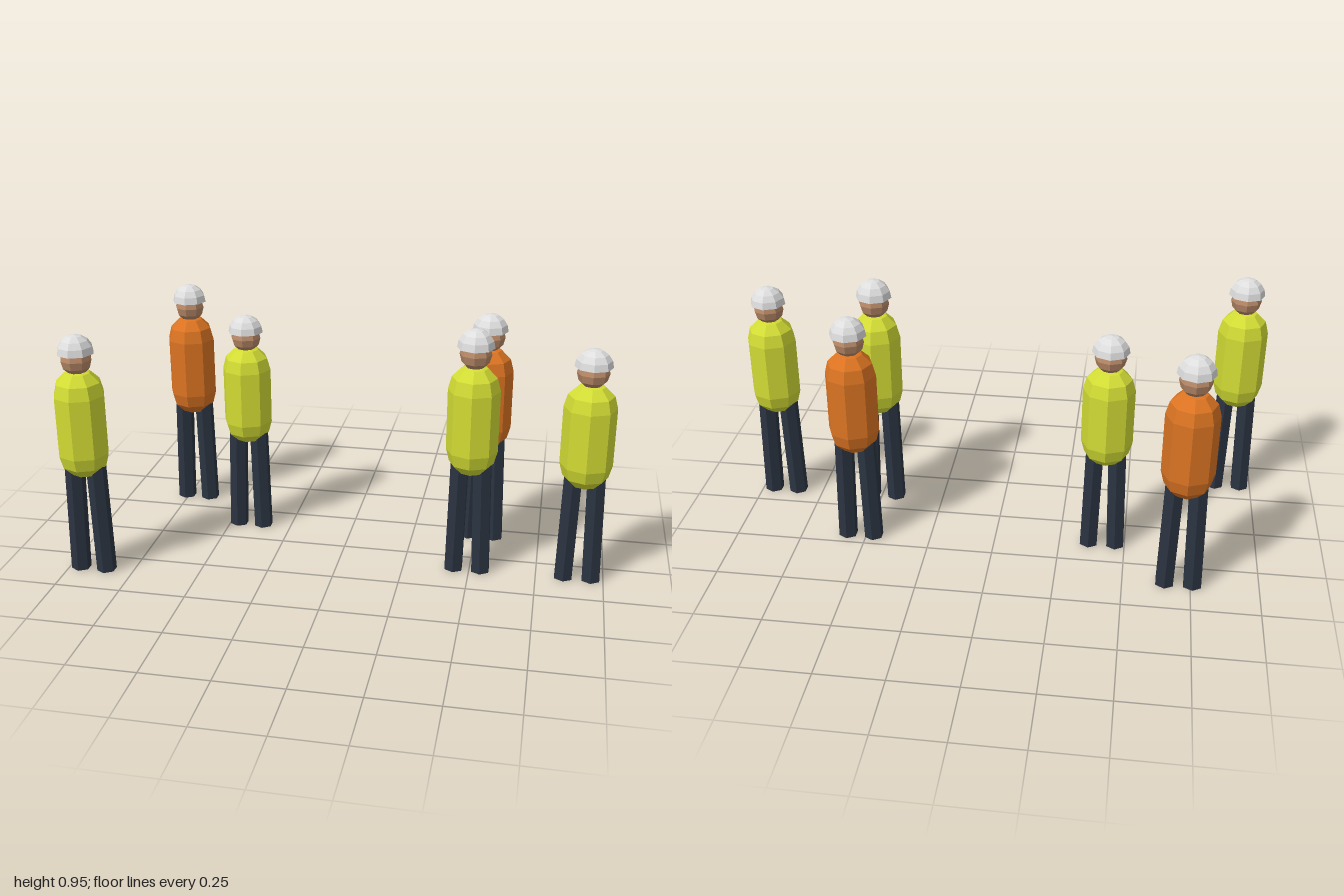
import * as THREE from 'three';

const mat = (name, color, extra = {}) =>
  Object.assign(new THREE.MeshStandardMaterial({ color, flatShading: true, ...extra }), { name });

export function createModel() {
  const yellow = mat('safetyYellow', 0xd2dc34);
  const orange = mat('safetyOrange', 0xdc7422);
  const navy = mat('trouserNavy', 0x2b3441);
  const skin = mat('skin', 0xb98a68);
  const white = mat('helmetGrey', 0xdedede, { side: THREE.DoubleSide });

  // shared low-poly parts
  const bodyGeo = new THREE.CapsuleGeometry(0.095, 0.225, 3, 8);
  const headGeo = new THREE.SphereGeometry(0.058, 8, 6);
  const helmetGeo = new THREE.SphereGeometry(0.068, 8, 4, 0, Math.PI * 2, 0, Math.PI / 2);
  const legGeo = new THREE.CylinderGeometry(0.037, 0.037, 0.46, 6);

  function part(parent, name, geo, material, x, y) {
    const mesh = new THREE.Mesh(geo, material);
    mesh.name = name;
    mesh.position.set(x, y, 0);
    parent.add(mesh);
    return mesh;
  }

  function worker(x, z, height, jacket) {
    const g = new THREE.Group();
    g.name = 'worker';
    // slightly splayed legs
    for (const s of [1, -1]) {
      const leg = part(g, s > 0 ? 'leftLeg' : 'rightLeg', legGeo, navy, s * 0.046, 0.2305);
      leg.rotation.z = s * 0.022;
    }
    part(g, 'jacket', bodyGeo, jacket, 0, 0.593);
    part(g, 'head', headGeo, skin, 0, 0.838);
    part(g, 'helmet', helmetGeo, white, 0, 0.861);
    g.position.set(x, 0, z);
    g.scale.y = height / 0.929;
    return g;
  }

  const crew = new THREE.Group();
  crew.name = 'workCrew';
  // x, z, height, jacket
  for (const w of [
    [-0.905, 0.35, 0.928, yellow],
    [-0.706, -0.352, 0.936, orange],
    [-0.413, -0.132, 0.886, yellow],
    [0.491, 0.097, 0.953, yellow],
    [0.521, -0.192, 0.927, orange],
    [0.903, 0.092, 0.902, yellow],
  ]) crew.add(worker(...w));
  return crew;
}
